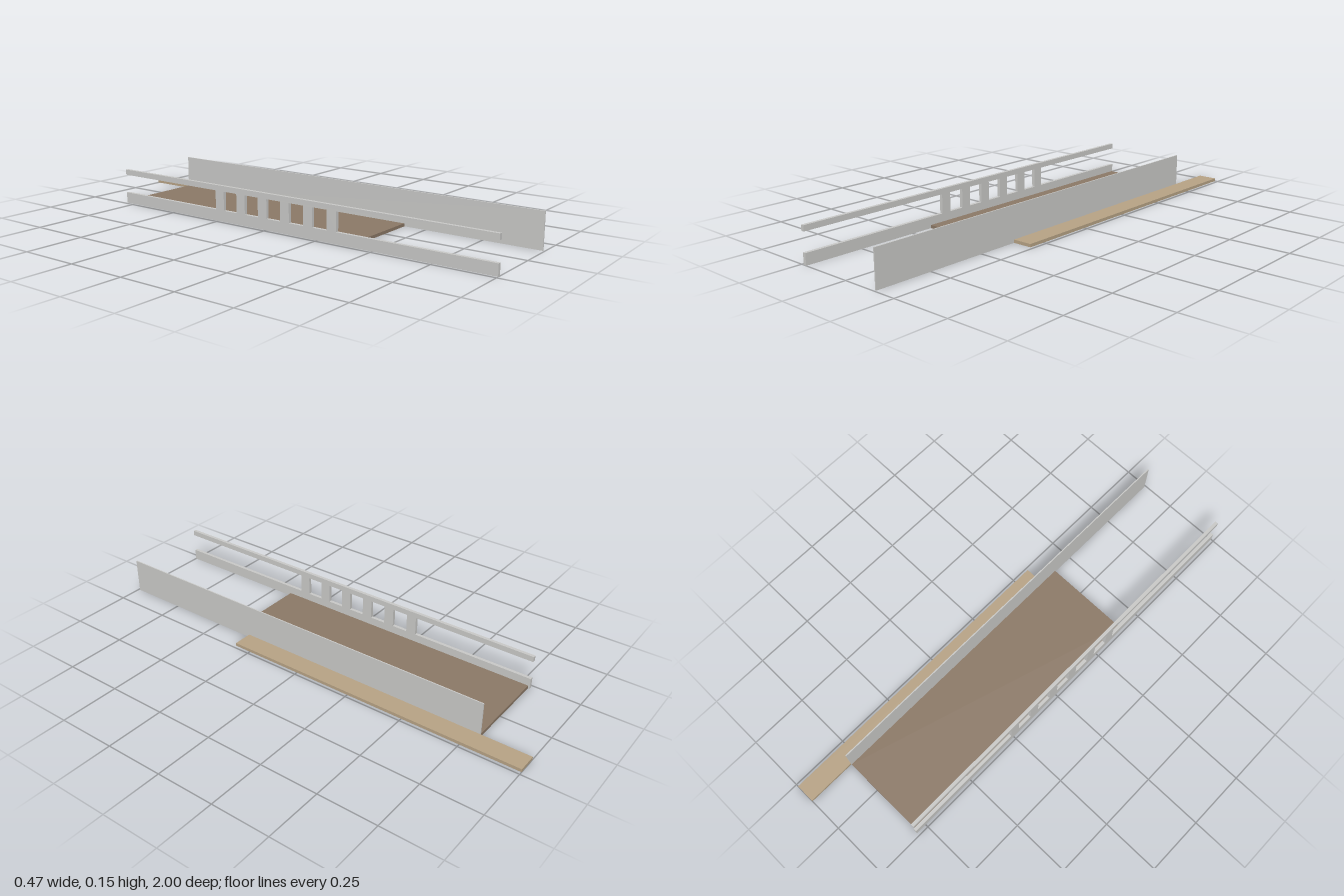
import * as THREE from 'three';

export function createModel() {
  const model = new THREE.Group();
  model.name = 'platformSection';

  const material = (name, color) => {
    const m = new THREE.MeshStandardMaterial({ color });
    m.name = name;
    return m;
  };
  const grey = material('wallGrey', 0xc8c8c6);
  const brown = material('floorBrown', 0x8b7866);
  const tan = material('walkwayTan', 0xb6a284);

  // Box given by its lower and upper limits on each axis
  const slab = (name, mat, [x0, x1], [y0, y1], [z0, z1]) => {
    const mesh = new THREE.Mesh(new THREE.BoxGeometry(x1 - x0, y1 - y0, z1 - z0), mat);
    mesh.position.set((x0 + x1) / 2, (y0 + y1) / 2, (z0 + z1) / 2);
    mesh.name = name;
    model.add(mesh);
  };

  slab('floor', brown, [-0.224, 0.148], [0, 0.013], [-0.79, 0.405]);
  slab('walkway', tan, [0.153, 0.236], [0, 0.013], [-1, 0.325]);
  slab('solidWall', grey, [0.148, 0.153], [0, 0.15], [-0.79, 0.993]);

  // Window wall: one outline, notched between the rails at both ends
  const [back, front, sill, head, top] = [-0.797, 1, 0.047, 0.127, 0.15];
  const postWidth = 0.044, pitch = 0.112, posts = 6, firstPost = -0.264;
  const lastEdge = firstPost + (posts - 1) * pitch + postWidth;
  const outline = new THREE.Shape([
    [back, 0], [front, 0], [front, sill], [lastEdge, sill], [lastEdge, head], [front, head],
    [front, top], [back, top], [back, head], [firstPost, head], [firstPost, sill], [back, sill],
  ].map(([z, y]) => new THREE.Vector2(z, y)));

  // Window openings between the posts
  for (let i = 0; i < posts - 1; i++) {
    const a = firstPost + i * pitch + postWidth;
    const b = firstPost + (i + 1) * pitch;
    outline.holes.push(new THREE.Path([
      new THREE.Vector2(a, sill), new THREE.Vector2(a, head),
      new THREE.Vector2(b, head), new THREE.Vector2(b, sill),
    ]));
  }
  const wallGeometry = new THREE.ExtrudeGeometry(outline, { depth: 0.014, bevelEnabled: false });
  wallGeometry.rotateY(-Math.PI / 2); // outline runs along z, thickness towards -x
  const windowWall = new THREE.Mesh(wallGeometry, grey);
  windowWall.position.x = -0.224;
  windowWall.name = 'windowWall';
  model.add(windowWall);

  return model;
}
